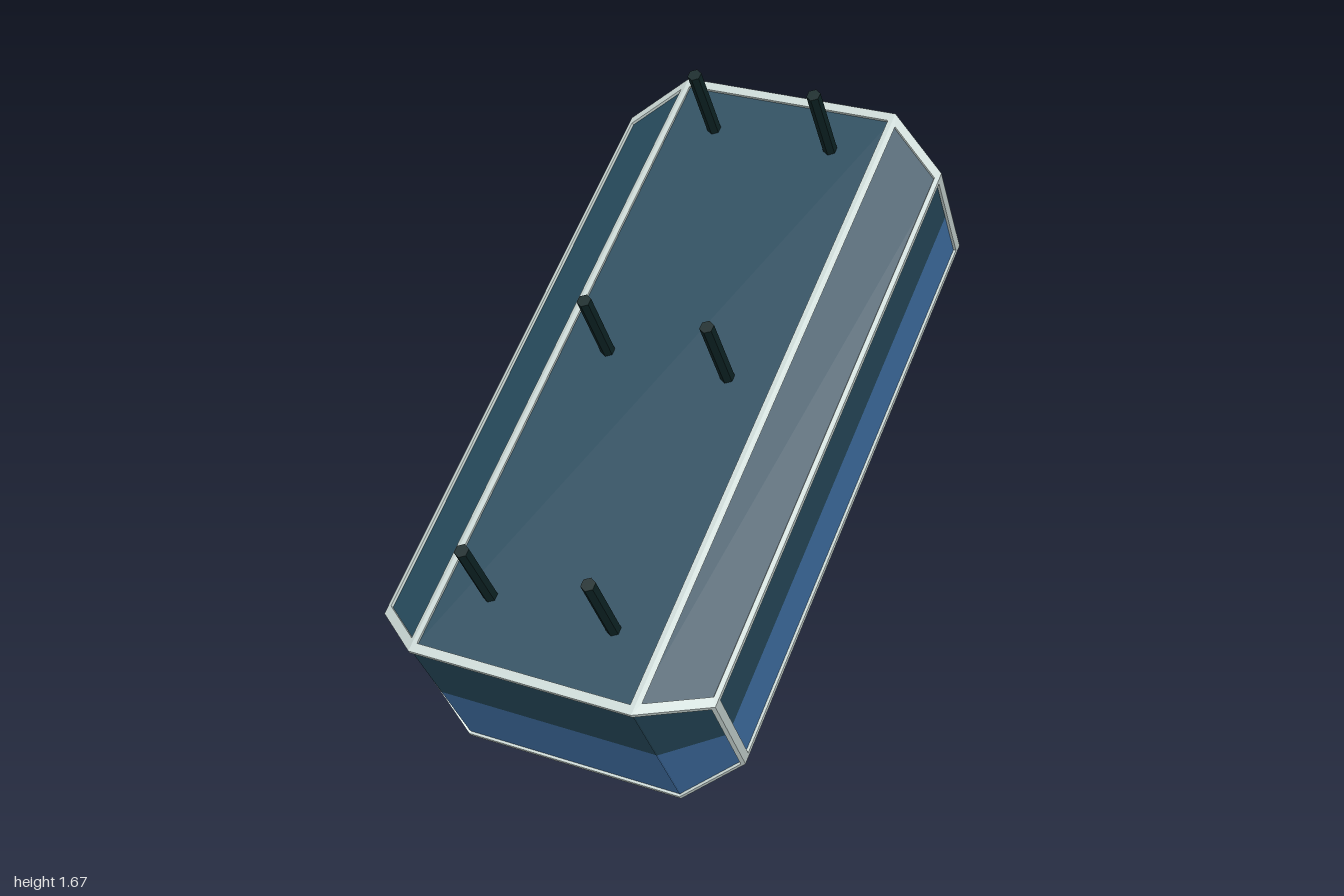
import * as THREE from 'three';

const TILT = 0.563;            // slope of the whole body
const A = 0.34, W = 0.512;     // half widths: flat centre, full
const V = 0.272, VS = 0.182;   // half heights: centre, sides
const L = 1.011, LS = 0.893;   // half lengths: centre, sides
const RAISE = 0.008;           // trim height above the panels

const vec = (x, y, z) => new THREE.Vector3(x, y, z);

// Corner of the hull: side 0 is the centre block, +-1 the narrow sides
const inner = (sx, sy, sz) => vec(sx * A, sy * V, sz * L);
const outer = (sx, sy, sz) => vec(sx * W, sy * VS, sz * LS);

// Outward normal; reverses the polygon in place if it winds the wrong way
function orient(poly) {
  const n = vec(0, 0, 0).crossVectors(poly[1].clone().sub(poly[0]), poly[2].clone().sub(poly[0])).normalize();
  const mid = poly.reduce((s, p) => s.add(p), vec(0, 0, 0));
  if (n.dot(mid) < 0) { poly.reverse(); n.negate(); }
  return n;
}

function addQuad(out, a, b, c, d) {
  for (const p of [a, b, c, a, c, d]) out.push(p.x, p.y, p.z);
}

function toMesh(name, positions, material) {
  const g = new THREE.BufferGeometry();
  g.setAttribute('position', new THREE.Float32BufferAttribute(positions, 3));
  g.computeVertexNormals();
  const mesh = new THREE.Mesh(g, material);
  mesh.name = name;
  return mesh;
}

// All flat four-sided panels of the chamfered hull
function hullPanels() {
  const panels = [];
  for (const s of [1, -1]) {
    panels.push([inner(-1, s, -1), inner(1, s, -1), inner(1, s, 1), inner(-1, s, 1)]);   // top, bottom
    panels.push([outer(s, -1, -1), outer(s, 1, -1), outer(s, 1, 1), outer(s, -1, 1)]);   // sides
    panels.push([inner(-1, -1, s), inner(1, -1, s), inner(1, 1, s), inner(-1, 1, s)]);   // ends
    for (const t of [1, -1]) {
      panels.push([inner(s, t, -1), outer(s, t, -1), outer(s, t, 1), inner(s, t, 1)]);   // long chamfers
      panels.push([inner(s, -1, t), outer(s, -1, t), outer(s, 1, t), inner(s, 1, t)]);   // end chamfers
    }
  }
  return panels;
}

// Trim width along one edge of a panel
function trimWidth(p, q, isEnd) {
  if (p.z * q.z < 0) return 0.014;                                     // long edges
  if (isEnd && Math.abs(p.x) < 0.4 && p.x === q.x) return 0;           // bare creases in the ends
  return isEnd ? 0.012 : 0.028;                                        // end rims
}

// Raised border strips around a panel, with small inner walls
function addFrame(out, poly, n) {
  const isEnd = poly.every(p => p.z * poly[0].z > 0);
  const N = poly.length;
  const dir = poly.map((p, i) => poly[(i + 1) % N].clone().sub(p).normalize());
  const w = poly.map((p, i) => trimWidth(p, poly[(i + 1) % N], isEnd));
  const inset = poly.map((p, i) => {
    const h = (i + N - 1) % N;
    const sin = vec(0, 0, 0).crossVectors(dir[h], dir[i]).length();
    return p.clone().addScaledVector(dir[h], -w[i] / sin).addScaledVector(dir[i], w[h] / sin);
  });
  const low = inset.map(p => p.clone().addScaledVector(n, -RAISE * 1.5));
  for (let i = 0; i < N; i++) {
    if (w[i] === 0) continue;
    const j = (i + 1) % N;
    addQuad(out, poly[i], poly[j], inset[j], inset[i]);
    addQuad(out, inset[i], inset[j], low[j], low[i]);
  }
}

export function createModel() {
  const model = new THREE.Group();
  model.name = 'tiltedCapsule';
  const paint = (name, color) => new THREE.MeshStandardMaterial({ name, color });
  const teal = paint('dark teal', 0x26495b);
  const blue = paint('blue', 0x4070a5);
  const light = paint('pale trim', 0xc6d3d0);
  const dark = paint('near black green', 0x0f2526);
  light.side = THREE.DoubleSide;

  const body = new THREE.Group();
  body.name = 'body';
  body.rotation.x = TILT;
  body.position.y = 0.77;
  model.add(body);

  // Panels are split at mid height into an upper and a lower colour
  const upper = [], lower = [], trim = [];
  for (const poly of hullPanels()) {
    const n = orient(poly);
    addFrame(trim, poly, n);
    const sunk = poly.map(p => p.clone().addScaledVector(n, -RAISE));
    const midY = poly.reduce((s, p) => s + p.y, 0);
    if (midY > -0.01) addQuad(upper, ...sunk.map(p => vec(p.x, Math.max(p.y, 0), p.z)));
    if (midY < 0.01) addQuad(lower, ...sunk.map(p => vec(p.x, Math.min(p.y, 0), p.z)));
  }
  body.add(toMesh('upperShell', upper, teal));
  body.add(toMesh('lowerShell', lower, blue));
  body.add(toMesh('edgeTrim', trim, light));

  // Two rows of three pegs standing on the top panel
  const pegShape = new THREE.CylinderGeometry(0.021, 0.021, 0.27, 6).toNonIndexed();
  pegShape.computeVertexNormals();
  for (const x of [-0.19, 0.19]) {
    for (const along of [-0.79, 0.03, 0.85]) {
      const peg = new THREE.Mesh(pegShape, dark);
      peg.name = 'peg';
      peg.position.set(x, 0.383, -along);
      body.add(peg);
    }
  }
  return model;
}
